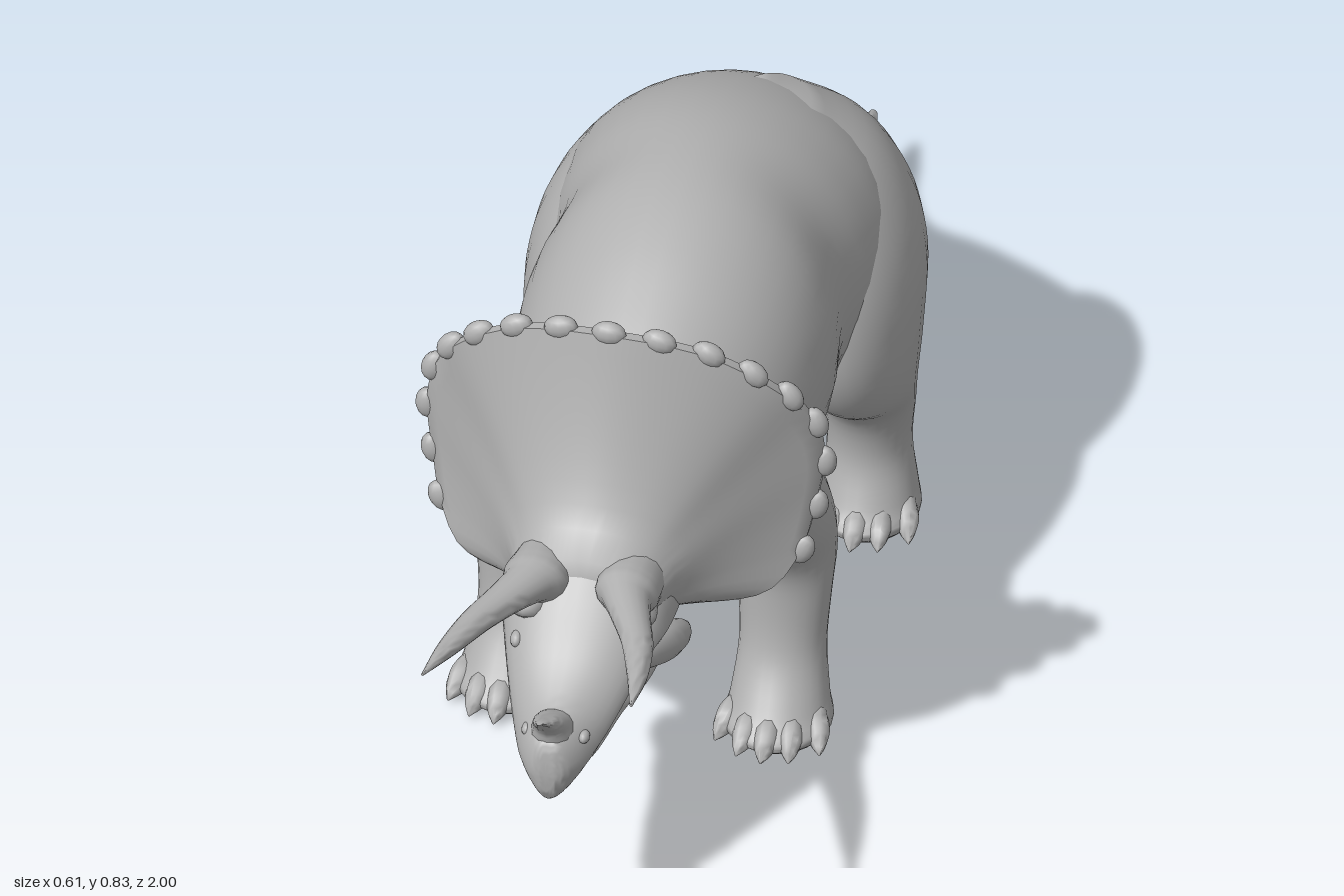
import * as THREE from 'three';
import { toCreasedNormals } from 'three/addons/utils/BufferGeometryUtils.js';

const hide = new THREE.MeshStandardMaterial({ color: 0xb0b0b0 });
hide.name = 'grey hide';

function add(parent, name, geometry) {
  const mesh = new THREE.Mesh(geometry, hide);
  mesh.name = name;
  parent.add(mesh);
  return mesh;
}

// Skin over a list of equal closed rings, with both ends closed
function skin(rings) {
  const n = rings[0].length, pos = [], index = [];
  rings.forEach(r => r.forEach(p => pos.push(p.x, p.y, p.z)));
  for (let i = 0; i < rings.length - 1; i++) {
    for (let j = 0; j < n; j++) {
      const k = (j + 1) % n, a = i * n + j, b = i * n + k;
      index.push(a, b, b + n, a, b + n, a + n);
    }
  }
  [rings[0], rings[rings.length - 1]].forEach((r, end) => {
    const c = r.reduce((s, p) => s.add(p), new THREE.Vector3()).divideScalar(n);
    const ci = pos.length / 3, base = end ? (rings.length - 1) * n : 0;
    pos.push(c.x, c.y, c.z);
    for (let j = 0; j < n; j++) {
      const k = (j + 1) % n;
      if (end) index.push(ci, base + j, base + k);
      else index.push(ci, base + k, base + j);
    }
  });
  const g = new THREE.BufferGeometry();
  g.setAttribute('position', new THREE.Float32BufferAttribute(pos, 3));
  g.setIndex(index);
  return toCreasedNormals(g, 1.0);
}

// Rows are [x, y, z, rx, r2]; rings lie across the 'z' axis (r2 = y radius)
// or across the 'y' axis (r2 = z radius). Rows must ascend along that axis.
function loft(rows, axis, { n = 28, steps = 5, side = 1, dz = 0, pinch = 0 } = {}) {
  const V = (x, y, z) => new THREE.Vector3(x, y, z);
  const centre = new THREE.CatmullRomCurve3(rows.map(r => V(r[0] * side, r[1], r[2] + dz)), false, 'catmullrom');
  const radius = new THREE.CatmullRomCurve3(rows.map(r => V(r[3], r[4], 0)), false, 'catmullrom');
  const total = (rows.length - 1) * steps, rings = [];
  for (let i = 0; i <= total; i++) {
    const c = centre.getPoint(i / total), r = radius.getPoint(i / total), ring = [];
    for (let j = 0; j < n; j++) {
      const a = j / n * Math.PI * 2, co = Math.cos(a), si = Math.sin(a);
      if (axis === 'z') ring.push(V(c.x + r.x * co * (1 - pinch * Math.max(0, -si)), c.y + r.y * si, c.z));
      else ring.push(V(c.x + r.x * si, c.y, c.z + r.y * co));
    }
    rings.push(ring);
  }
  return skin(rings);
}

function ball(parent, name, p, s) {
  const m = add(parent, name, new THREE.SphereGeometry(1, 12, 8));
  m.position.set(...p);
  m.scale.set(...s);
  return m;
}

// Body and tail as [z, top, bottom, half width]
const BODY = [
  [-1, .107, .093, .006], [-.95, .116, .078, .018], [-.88, .127, .062, .03], [-.8, .17, .07, .044],
  [-.72, .24, .1, .059], [-.6, .38, .16, .083], [-.5, .49, .212, .102], [-.4, .59, .255, .138],
  [-.3, .67, .282, .202], [-.2, .72, .268, .237], [-.1, .75, .25, .232], [0, .76, .235, .212],
  [.1, .752, .225, .224], [.2, .722, .232, .217], [.3, .675, .25, .19], [.4, .62, .272, .138],
  [.5, .575, .275, .113], [.6, .52, .28, .1]];

const SKULL = [
  [.5, .53, .3, .1], [.58, .535, .29, .12], [.65, .515, .3, .12], [.7, .472, .315, .106],
  [.76, .41, .29, .084], [.81, .375, .252, .063], [.85, .358, .237, .045], [.875, .338, .25, .026],
  [.882, .31, .275, .007]];

const JAW = [
  [.48, .42, .272, .09], [.56, .4, .256, .098], [.64, .37, .253, .092], [.72, .34, .26, .07],
  [.79, .29, .25, .045], [.815, .27, .255, .015]];

const profile = (rows, x) => rows.map(([z, t, b, w]) => [x, (t + b) / 2, z, w, (t - b) / 2]);

const FRONT_LEG = [
  [.192, 0, .295, .066, .073], [.192, .02, .3, .077, .086], [.191, .05, .286, .07, .073], [.188, .12, .257, .062, .057],
  [.188, .2, .245, .066, .056], [.187, .27, .233, .071, .076], [.182, .34, .258, .075, .1],
  [.165, .42, .295, .08, .112], [.135, .5, .3, .084, .108], [.095, .57, .295, .08, .09], [.05, .63, .285, .045, .055]];

const HIND_LEG = [
  [.19, 0, -.22, .064, .074], [.19, .02, -.215, .075, .086], [.19, .05, -.225, .069, .075], [.188, .12, -.236, .06, .061],
  [.19, .2, -.222, .066, .069], [.19, .27, -.182, .077, .11], [.186, .35, -.178, .088, .146],
  [.172, .45, -.194, .102, .166], [.143, .54, -.206, .108, .16], [.1, .62, -.21, .1, .135], [.05, .69, -.2, .06, .08]];

function leg(parent, name, rows, side, dz) {
  const g = new THREE.Group();
  g.name = name;
  g.position.x = -.007;
  add(g, 'limb', loft(rows, 'y', { side, dz }));
  // Low toes with pointed claws fanned around the front of the foot
  const [x, , z, , rz] = rows[1];
  for (let i = 0; i < 5; i++) {
    const f = (i - 2) / 2, tx = x + f * .063, tz = z + rz * (.92 - .45 * f * f);
    add(g, 'toe', loft([
      [tx - f * .01, .032, tz - .05, .014, .022], [tx, .027, tz - .014, .018, .023],
      [tx + f * .006, .019, tz + .008, .013, .015], [tx + f * .012, .009, tz + .024, .002, .003]],
    'z', { side, dz, n: 10, steps: 3 }));
  }
  parent.add(g);
}

function frill(parent) {
  const half = [[.12, .38, .55], [.222, .385, .5], [.258, .43, .465], [.275, .5, .445],
    [.285, .58, .437], [.271, .65, .447], [.222, .725, .485], [.135, .785, .515]];
  const points = [[0, .37, .58], ...half, [0, .81, .535], ...half.slice().reverse().map(p => [-p[0], p[1], p[2]])];
  const rim = new THREE.CatmullRomCurve3(points.map(p => new THREE.Vector3(...p)), true);
  const edge = rim.getSpacedPoints(72).slice(0, 72);
  const ringAt = (t, dz) => edge.map(p => {
    const a = Math.atan2(p.y - .5, p.x);
    const x = .1 * Math.cos(a), y = .46 + .06 * Math.sin(a), f = Math.pow(t, .6);
    return new THREE.Vector3(x + (p.x - x) * t, y + (p.y - y) * t, .675 + (p.z - .675) * f + dz);
  });
  // Back face outward, thicker towards the neck, then front face inward
  const rings = [], m = 10;
  for (let i = 0; i <= m; i++) rings.push(ringAt(i / m, -.01 - .04 * (1 - i / m)));
  for (let i = m; i >= 0; i--) rings.push(ringAt(i / m, .005));
  add(parent, 'frill', skin(rings));
  // Scalloped bony knobs along the rim
  for (let i = -8; i <= 8; i++) {
    const p = rim.getPointAt(.5 + i * .0405), t = rim.getTangentAt(.5 + i * .0405);
    const knob = ball(parent, 'frillKnob', [p.x, p.y, p.z - .003], [.025, .018, .014]);
    knob.rotation.z = Math.atan2(t.y, t.x);
  }
}

export function createModel() {
  const model = new THREE.Group();
  model.name = 'hornedDinosaur';
  add(model, 'bodyAndTail', loft(profile(BODY, -.007), 'z', { n: 40 }));

  const head = new THREE.Group();
  head.name = 'head';
  model.add(head);
  add(head, 'skull', loft(profile(SKULL, -.003), 'z', { pinch: .35 }));
  add(head, 'lowerJaw', loft(profile(JAW, -.003), 'z', { pinch: .25 }));
  frill(head);
  add(head, 'noseHorn', loft([[-.003, .335, .83, .034, .04], [-.003, .36, .845, .027, .032],
    [-.003, .385, .88, .018, .02], [-.003, .408, .918, .004, .004]], 'y', { n: 14 }));

  for (const side of [1, -1]) {
    add(head, 'browHorn', loft([[.066, .475, .64, .042, .046], [.066, .486, .69, .046, .042], [.072, .495, .72, .036, .031],
      [.092, .5, .77, .029, .023], [.116, .503, .83, .023, .019], [.136, .51, .91, .015, .013],
      [.15, .525, 1, .002, .002]], 'z', { side, n: 16 }));
    ball(head, 'browRidge', [side * .076, .45, .685], [.032, .025, .04]);
    ball(head, 'eye', [side * .083, .405, .725], [.01, .012, .016]);
    ball(head, 'nostril', [side * .041, .335, .835], [.008, .009, .012]);
    // Cheek flange tapering back and out to a blunt point
    add(head, 'cheek', loft([[.12, .352, .565, .004, .006], [.113, .355, .59, .02, .024],
      [.1, .365, .63, .028, .034], [.085, .375, .68, .02, .026], [.075, .38, .71, .006, .01]], 'z', { side, n: 14 }));
    leg(model, 'frontLeg', FRONT_LEG, side, 0);
    leg(model, 'hindLeg', HIND_LEG, side, side < 0 ? .055 : 0);
  }
  return model;
}
